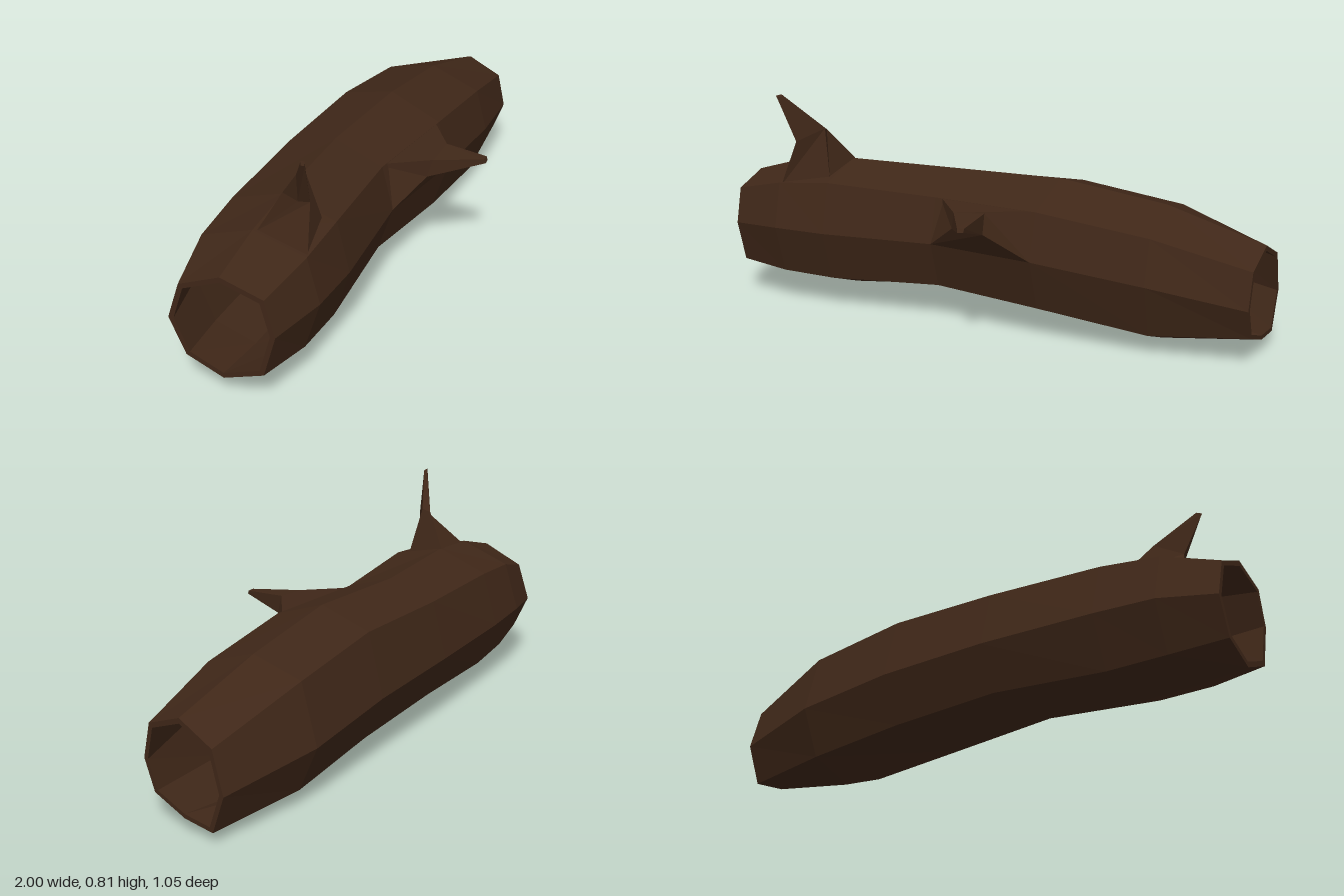
import * as THREE from 'three';

const bark = new THREE.MeshStandardMaterial({ color: 0x3f2718, flatShading: true, side: THREE.DoubleSide });

// Skin a list of equal-length rings with quads; flat facets.
function loft(name, rings) {
  const pos = [];
  const n = rings[0].length;
  for (let i = 0; i < rings.length - 1; i++) {
    for (let j = 0; j < n; j++) {
      const k = (j + 1) % n;
      const a = rings[i][j], b = rings[i + 1][j], c = rings[i + 1][k], d = rings[i][k];
      pos.push(...a, ...b, ...d, ...b, ...c, ...d);
    }
  }
  const geo = new THREE.BufferGeometry();
  geo.setAttribute('position', new THREE.Float32BufferAttribute(pos, 3));
  geo.computeVertexNormals();
  const mesh = new THREE.Mesh(geo, bark);
  mesh.name = name;
  return mesh;
}

// Eight-sided trunk section: back and front points in plan, then the eight heights
// running front-top, top, back-top, back, back-low, bottom, front-low, front.
const ACROSS = [0.82, 0.03, -0.76, -1, -0.7, 0, 0.76, 1];
const SECTIONS = [
  [-1.0, 0.16, -0.855, 0.525, 0.43, 0.47, 0.4, 0.26, 0.13, 0.08, 0.14, 0.3],
  [-0.83, 0.045, -0.65, 0.5, 0.48, 0.53, 0.46, 0.28, 0.11, 0.06, 0.13, 0.315],
  [-0.63, -0.05, -0.46, 0.43, 0.5, 0.55, 0.48, 0.28, 0.1, 0.05, 0.125, 0.315],
  [-0.23, -0.215, -0.08, 0.24, 0.48, 0.545, 0.49, 0.28, 0.12, 0.085, 0.14, 0.315],
  [0.17, -0.36, 0.31, 0.14, 0.48, 0.555, 0.5, 0.27, 0.1, 0.05, 0.12, 0.31],
  [0.53, -0.485, 0.69, -0.015, 0.43, 0.5, 0.45, 0.23, 0.06, 0.0, 0.075, 0.27],
  [0.905, -0.525, 0.995, -0.185, 0.345, 0.4, 0.335, 0.185, 0.045, 0.055, 0.105, 0.215],
];

function section([bx, bz, fx, fz, ...ys]) {
  return ys.map((y, j) => {
    const t = (ACROSS[j] + 1) / 2;
    return [bx + (fx - bx) * t, y, bz + (fz - bz) * t];
  });
}

function centre(ring) {
  return [0, 1, 2].map((k) => ring.reduce((s, p) => s + p[k], 0) / ring.length);
}

function shrink(ring, f) {
  const c = centre(ring);
  return ring.map((p) => p.map((v, k) => c[k] + (v - c[k]) * f));
}

// Broken branch: base, knuckle and a small closed tip.
function branch(name, base, knuckle, tip) {
  return loft(name, [base, knuckle, tip, shrink(tip, 0)]);
}

export function createModel() {
  const group = new THREE.Group();
  group.name = 'hollowLog';

  // Outer bark, narrow rims and hollow core in one closed skin
  const outer = SECTIONS.map(section);
  const inner = outer.map((r) => shrink(r, 0.9)).reverse();
  group.add(loft('trunk', [...outer, ...inner, outer[0]]));

  // Tall stub standing on the right end
  group.add(branch('topBranch',
    [[-0.5, 0.49, 0.35], [-0.66, 0.47, 0.455], [-0.73, 0.52, 0.28], [-0.54, 0.55, 0.19]],
    [[-0.55, 0.685, 0.325], [-0.61, 0.64, 0.415], [-0.635, 0.64, 0.385], [-0.57, 0.675, 0.3]],
    [[-0.65, 0.81, 0.44], [-0.662, 0.805, 0.455], [-0.675, 0.81, 0.45], [-0.66, 0.815, 0.435]]));

  // Short stub pointing forward from the middle
  group.add(branch('frontBranch',
    [[-0.1, 0.48, 0.17], [0.29, 0.48, 0.08], [0.31, 0.31, 0.14], [-0.08, 0.315, 0.24]],
    [[0.08, 0.475, 0.28], [0.19, 0.485, 0.24], [0.19, 0.41, 0.25], [0.06, 0.41, 0.27]],
    [[0.215, 0.475, 0.4], [0.24, 0.475, 0.39], [0.24, 0.462, 0.395], [0.22, 0.46, 0.405]]));

  return group;
}
